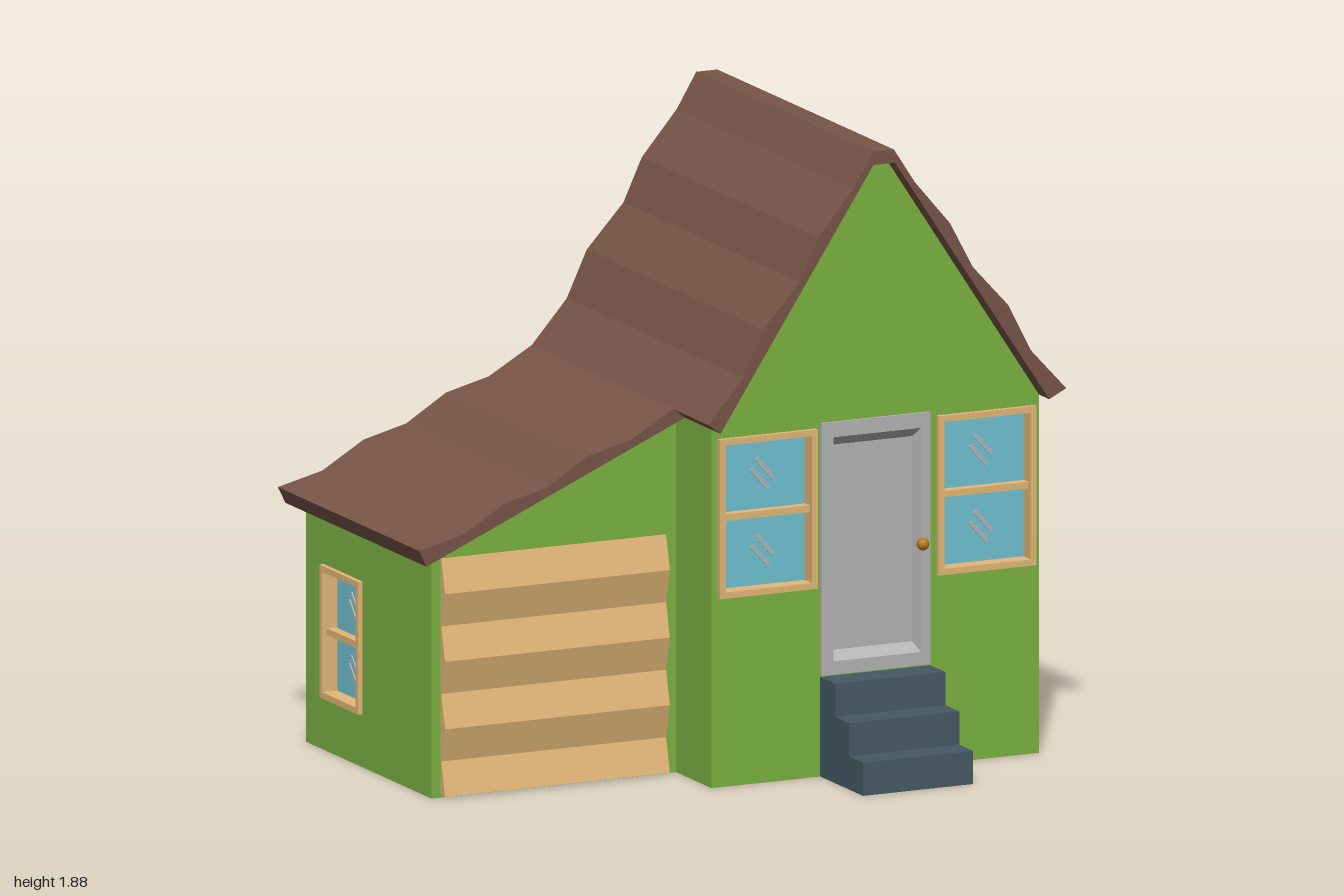
import * as THREE from 'three';

const mat = (color) => new THREE.MeshStandardMaterial({ color, flatShading: true });
const wallMat = mat(0x7cb342), roofMat = mat(0x795548), woodMat = mat(0xe3b778), glassMat = mat(0x6fc3d3),
  glintMat = mat(0xa9b7bd), doorMat = mat(0xb4b4b4), stoneMat = mat(0x455a64), brassMat = mat(0xb8770f);
const PI = Math.PI;

const vecs = (pts) => pts.map(([x, y]) => new THREE.Vector2(x, y));
const rect = (x0, y0, x1, y1) => [[x0, y0], [x1, y0], [x1, y1], [x0, y1]];

function shapeOf(pts, holes = []) {
  const s = new THREE.Shape(vecs(pts));
  for (const h of holes) s.holes.push(new THREE.Path(vecs(h)));
  return s;
}

function extrude(pts, holes, z0, z1) {
  const g = new THREE.ExtrudeGeometry(shapeOf(pts, holes), { depth: z1 - z0, bevelEnabled: false });
  return g.translate(0, 0, z0);
}

// Profile in (z, y), swept along x from x0 to x1
const sweepX = (pts, x0, x1) => extrude(pts, [], 0, x1 - x0).rotateY(-PI / 2).translate(x1, 0, 0);

function add(parent, name, geometry, material, x = 0, y = 0, z = 0) {
  const m = new THREE.Mesh(geometry, material);
  m.name = name;
  m.position.set(x, y, z);
  parent.add(m);
  return m;
}

// Rectangles [x0, y0, x1, y1, z] joined from the outside inwards, the last one filled
function nestedRects(loops) {
  const pos = [];
  const corners = loops.map(([x0, y0, x1, y1, z]) => rect(x0, y0, x1, y1).map(([x, y]) => [x, y, z]));
  const quad = (a, b, c, d) => pos.push(...a, ...b, ...c, ...a, ...c, ...d);
  for (let i = 0; i + 1 < corners.length; i++)
    for (let j = 0; j < 4; j++) {
      const k = (j + 1) % 4;
      quad(corners[i][j], corners[i][k], corners[i + 1][k], corners[i + 1][j]);
    }
  quad(...corners[corners.length - 1]);
  const g = new THREE.BufferGeometry();
  g.setAttribute('position', new THREE.Float32BufferAttribute(pos, 3));
  g.computeVertexNormals();
  return g;
}

// Two-pane window facing +z, centred, recessed into the wall
function makeWindow(name, w, h) {
  const g = new THREE.Group();
  g.name = name;
  const t = 0.019, x = w / 2, y = h / 2;
  add(g, 'windowFrame', extrude(rect(-x, -y, x, y), [rect(-x + t, -y + t, x - t, y - t)], -0.045, 0.015), woodMat);
  add(g, 'windowBar', new THREE.BoxGeometry(w - 2 * t, 0.02, 0.03), woodMat, 0, 0, -0.015);
  add(g, 'glass', new THREE.BoxGeometry(w - 2 * t, h - 2 * t, 0.01), glassMat, 0, 0, -0.04);
  const s = h / 0.48;
  for (const side of [-1, 1])
    for (const [dx, dy] of [[0.01, 0.014], [-0.006, -0.016]]) {
      const m = add(g, 'glint', new THREE.BoxGeometry(0.085 * s, 0.014 * s, 0.006), glintMat,
        dx * s, side * (h - t) / 4 + dy * s, -0.034);
      m.rotation.z = -0.85;
    }
  return g;
}

export function createModel() {
  const house = new THREE.Group();
  house.name = 'house';
  const L = -0.93, M = -0.13, R = 0.94;            // outer left, junction, outer right
  const back = -0.66, gFront = 0.18, front = 0.418; // depths
  const eave = 1.08, ridge = 1.84, low = 0.73;

  // Windows: name, width, height, position, turn
  const windows = [
    ['frontWindowRight', 0.32, 0.48, 0.05, 0.81, front, 0],
    ['frontWindowLeft', 0.32, 0.48, 0.765, 0.81, front, 0],
    ['sideWindowLeft', 0.31, 0.46, R, 0.81, 0.015, PI / 2],
    ['sideWindowRight', 0.26, 0.4, L, 0.36, -0.41, -PI / 2],
  ];
  for (const [name, w, h, x, y, z, turn] of windows) {
    const win = makeWindow(name, w, h);
    win.position.set(x, y, z);
    win.rotation.y = turn;
    house.add(win);
  }
  const opening = (u, v, w, h) => rect(u - w / 2 + 0.01, v - h / 2 + 0.01, u + w / 2 - 0.01, v + h / 2 - 0.01);

  // Walls
  const wall = (name, pts, holes = []) => {
    const m = add(house, name, new THREE.ShapeGeometry(shapeOf(pts, holes)), wallMat);
    return m.geometry;
  };
  wall('frontWall', [[M, 0], [R, 0], [R, eave], [0.44, ridge], [0.37, ridge], [M, eave]],
    [opening(0.05, 0.81, 0.32, 0.48), opening(0.765, 0.81, 0.32, 0.48), rect(0.235, 0.315, 0.57, 1.055)])
    .translate(0, 0, front);
  wall('garageFrontWall', [[L, 0], [M, 0], [M, eave], [L, low]]).translate(0, 0, gFront);
  wall('backWall', [[-R, 0], [-L, 0], [-L, low], [-M, eave], [-0.37, ridge], [-0.44, ridge], [-R, eave]])
    .rotateY(PI).translate(0, 0, back);
  wall('leftWall', rect(-front, 0, -back, eave), [opening(-0.015, 0.81, 0.31, 0.46)])
    .rotateY(PI / 2).translate(R, 0, 0);
  wall('garageSideWall', rect(back, 0, gFront, low), [opening(-0.41, 0.36, 0.26, 0.4)])
    .rotateY(-PI / 2).translate(L, 0, 0);
  wall('junctionWall', rect(gFront, 0, front, eave)).rotateY(-PI / 2).translate(M, 0, 0);
  wall('floor', [[L, back], [R, back], [R, front], [M, front], [M, gFront], [L, gFront]]).rotateX(PI / 2);

  // Wavy roofs: rippled top, straight underside
  add(house, 'mainRoof', extrude([
    [M, eave], [-0.17, 1.11], [-0.055, 1.24], [0.01, 1.38], [0.13, 1.51], [0.19, 1.64], [0.305, 1.775],
    [0.368, 1.88], [0.437, 1.88], [0.505, 1.775], [0.62, 1.64], [0.695, 1.5], [0.81, 1.375], [0.885, 1.23],
    [1, 1.105], [0.945, 1.077], [0.44, ridge], [0.37, ridge],
  ], [], -0.705, 0.478), roofMat);
  add(house, 'garageRoof', extrude([
    [M, eave], [-0.17, 1.11], [-0.31, 1.03], [-0.45, 0.995], [-0.58, 0.915], [-0.72, 0.88],
    [-0.855, 0.8], [-1, 0.765], [-0.975, 0.715],
  ], [], -0.705, 0.24), roofMat);

  // Garage door with seven alternately tilted slats
  const slats = [[gFront - 0.01, 0.72]];
  for (let i = 0; i <= 7; i++) slats.push([gFront + (i % 2 ? 0.03 : 0.005), 0.72 - (i * 0.712) / 7]);
  slats.push([gFront - 0.01, 0.008]);
  add(house, 'garageDoor', sweepX(slats, -0.9, -0.165), woodMat);

  // Front door with a bevelled sunk panel
  add(house, 'frontDoor', nestedRects([
    [0.225, 0.305, 0.58, 1.065, 0.4], [0.225, 0.305, 0.58, 1.065, 0.428],
    [0.263, 0.345, 0.55, 1.02, 0.428], [0.28, 0.372, 0.537, 0.99, 0.395],
  ]), doorMat);
  add(house, 'doorKnob', new THREE.SphereGeometry(0.019, 12, 8), brassMat, 0.555, 0.67, 0.43);

  // Steps
  const steps = [[front - 0.01, 0]];
  [0.705, 0.612, 0.52].forEach((z, i) => steps.push([z, i * 0.1], [z, (i + 1) * 0.1]));
  steps.push([front - 0.01, 0.3]);
  add(house, 'frontSteps', sweepX(steps, 0.225, 0.585), stoneMat);

  return house;
}
